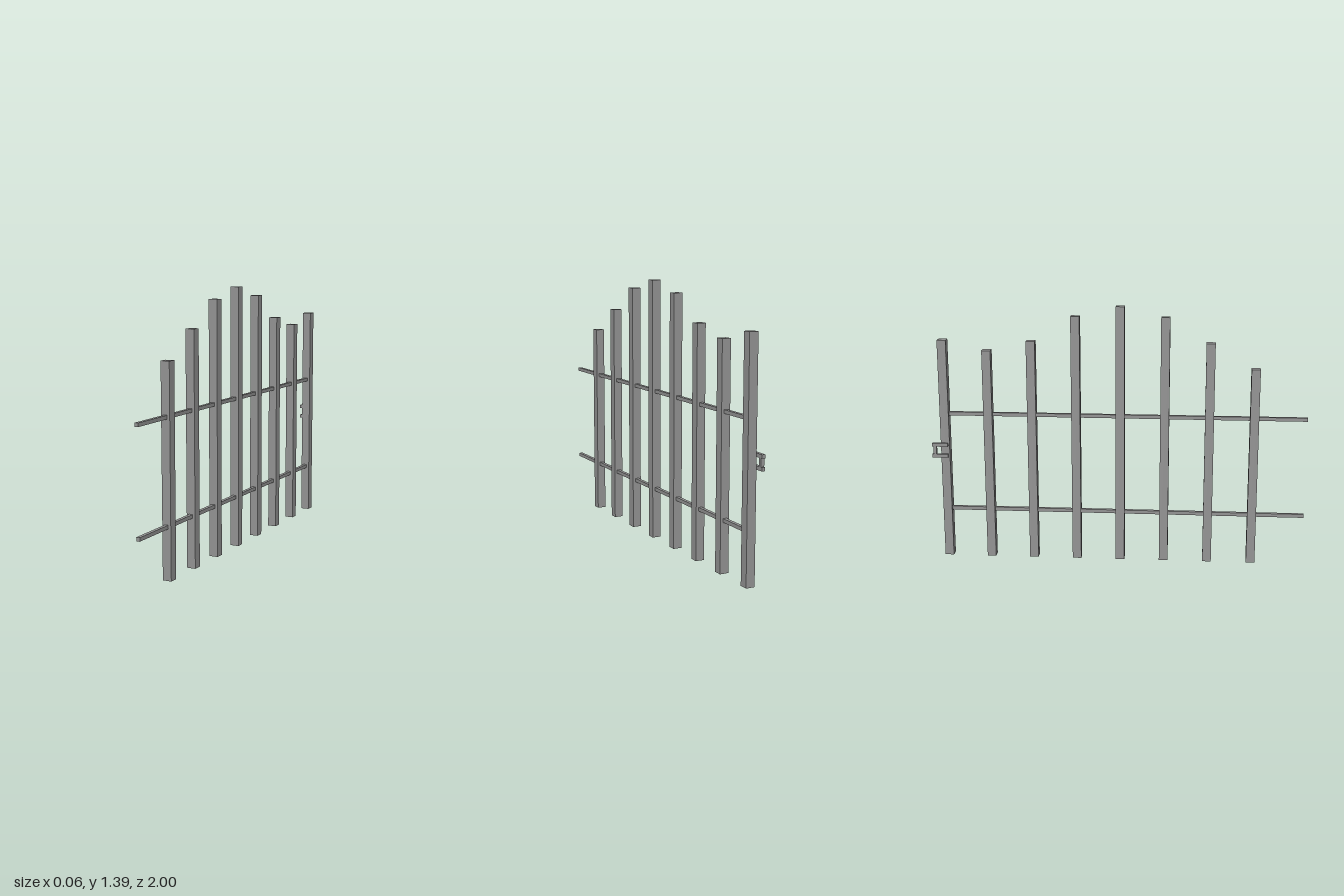
import * as THREE from 'three';

const material = new THREE.MeshStandardMaterial({ color: 0x949494 });

function addBox(parent, name, size, position) {
  const mesh = new THREE.Mesh(new THREE.BoxGeometry(...size), material);
  mesh.name = name;
  mesh.position.set(...position);
  parent.add(mesh);
}

export function createModel() {
  const gate = new THREE.Group();
  gate.name = 'picketGate';
  const centerX = 0.008;

  // Square pickets, evenly spaced from front to back, with arched tops
  const pickets = new THREE.Group();
  pickets.name = 'pickets';
  const heights = [1.066, 1.2, 1.333, 1.387, 1.333, 1.2, 1.147, 1.2];
  heights.forEach((h, i) => {
    addBox(pickets, 'picket', [0.047, h, 0.047], [centerX, h / 2, 0.722 - i * 0.2362]);
  });
  gate.add(pickets);

  // Two thin rails through the pickets, reaching past the front one
  for (const y of [0.268, 0.8]) {
    addBox(gate, 'rail', [0.019, 0.019, 1.93], [centerX, y, 0.035]);
  }

  // Latch on the side of the rear picket: two arms joined by an upright
  const latch = new THREE.Group();
  latch.name = 'latch';
  for (const y of [0.572, 0.632]) {
    addBox(latch, 'latchArm', [0.018, 0.018, 0.085], [-0.0245, y, -0.9575]);
  }
  addBox(latch, 'latchUpright', [0.018, 0.045, 0.016], [-0.0245, 0.602, -0.984]);
  gate.add(latch);

  return gate;
}
